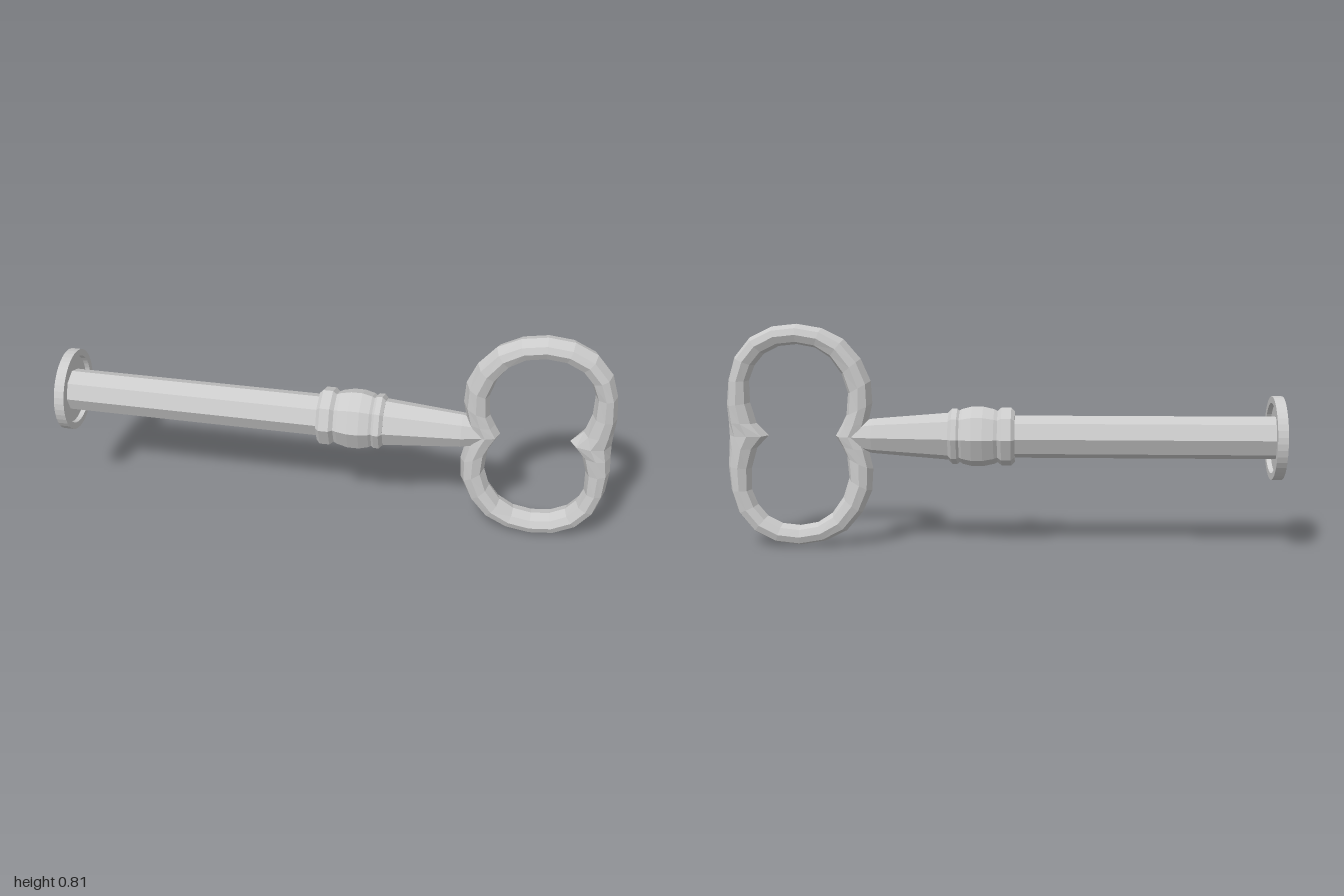
import * as THREE from 'three';

const AXIS_Y = 0.407;
const material = new THREE.MeshStandardMaterial({ color: 0xcccccc, flatShading: true, side: THREE.DoubleSide });

// Turned part along the x axis; profile is [x, radius] pairs from left to right
function turned(name, profile, sides) {
  const points = profile.map(([x, r]) => new THREE.Vector2(r, x));
  const mesh = new THREE.Mesh(new THREE.LatheGeometry(points, sides), material);
  mesh.name = name;
  mesh.rotation.z = -Math.PI / 2;
  mesh.position.y = AXIS_Y;
  return mesh;
}

// Handle loop: a faceted section swept between an outer and an inner contour
function handleLoop() {
  // [outer x, outer height, inner x, inner height], upper half from right to left
  const half = [
    [0.993, 0, 0.85, 0], [0.995, 0.05, 0.893, 0.045], [1, 0.11, 0.915, 0.12],
    [0.992, 0.2, 0.917, 0.2], [0.967, 0.285, 0.895, 0.255], [0.91, 0.355, 0.86, 0.297],
    [0.83, 0.395, 0.805, 0.325], [0.74, 0.405, 0.74, 0.332], [0.65, 0.39, 0.675, 0.32],
    [0.57, 0.35, 0.622, 0.285], [0.51, 0.28, 0.58, 0.225], [0.475, 0.2, 0.558, 0.155],
    [0.47, 0.12, 0.565, 0.075], [0.485, 0.05, 0.585, 0.035], [0.505, 0, 0.605, 0],
  ];
  const mirrored = half.slice(1, -1).reverse().map(([ox, oy, ix, iy]) => [ox, -oy, ix, -iy]);
  const rings = [...half, ...mirrored];
  // [fraction from inner to outer, z]
  const section = [
    [0, 0], [0.15, 0.038], [0.5, 0.05], [0.82, 0.041],
    [1, 0], [0.82, -0.041], [0.5, -0.05], [0.15, -0.038],
  ];
  const positions = [], index = [], n = section.length;
  rings.forEach(([ox, oy, ix, iy], i) => {
    const next = (i + 1) % rings.length;
    section.forEach(([f, z], j) => {
      positions.push(ix + (ox - ix) * f, AXIS_Y + iy + (oy - iy) * f, z);
      const k = (j + 1) % n;
      const a = i * n + j, b = next * n + j, c = i * n + k, d = next * n + k;
      index.push(a, c, b, c, d, b);
    });
  });
  const geometry = new THREE.BufferGeometry();
  geometry.setAttribute('position', new THREE.Float32BufferAttribute(positions, 3));
  geometry.setIndex(index);
  geometry.computeVertexNormals();
  const mesh = new THREE.Mesh(geometry, material);
  mesh.name = 'handleLoop';
  return mesh;
}

export function createModel() {
  const group = new THREE.Group();
  group.name = 'key';

  // End disc, dished on the side facing the shaft
  group.add(turned('endDisc', [
    [-1, 0], [-1, 0.15], [-0.963, 0.15], [-0.963, 0.126], [-0.98, 0.124], [-0.98, 0],
  ], 40));

  // Octagonal shaft
  group.add(turned('shaft', [[-0.985, 0], [-0.985, 0.077], [-0.03, 0.077], [-0.03, 0]], 8));

  // Collar: ring, barrel and smaller ring
  group.add(turned('collarRing', [
    [-0.045, 0], [-0.045, 0.092], [-0.032, 0.106], [0.003, 0.106], [0.018, 0.093], [0.018, 0],
  ], 8));
  group.add(turned('collarBarrel', [
    [0.01, 0], [0.01, 0.09], [0.03, 0.1], [0.07, 0.109], [0.11, 0.109], [0.145, 0.1], [0.16, 0.09], [0.16, 0],
  ], 8));
  group.add(turned('neckRing', [
    [0.15, 0], [0.15, 0.09], [0.163, 0.101], [0.182, 0.101], [0.194, 0.088], [0.194, 0],
  ], 8));

  // Neck narrowing into the handle
  group.add(turned('neck', [[0.18, 0], [0.18, 0.087], [0.47, 0.063], [0.56, 0.044], [0.58, 0]], 8));

  group.add(handleLoop());
  return group;
}
